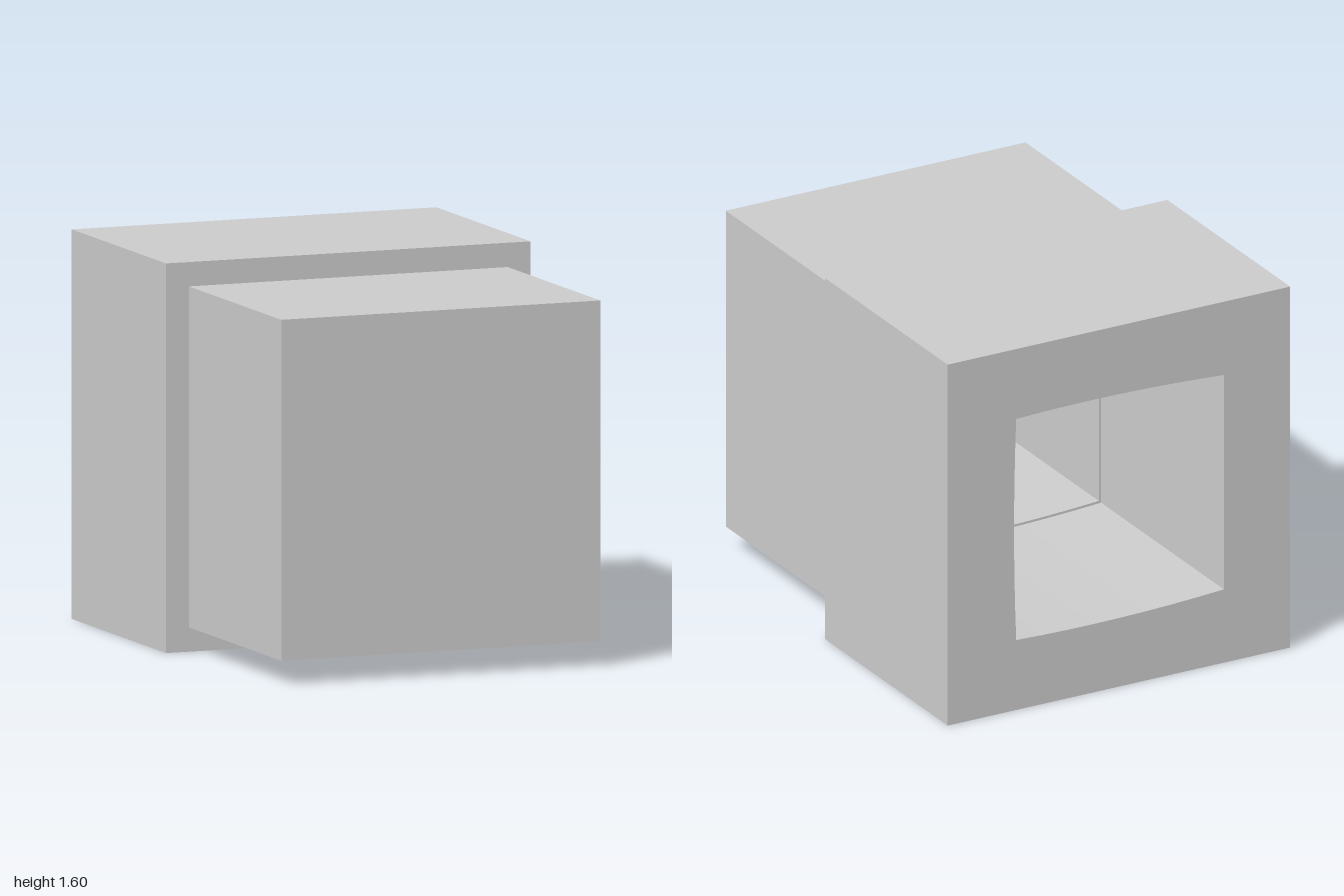
import * as THREE from 'three';

const material = new THREE.MeshStandardMaterial({ color: 0xcccccc });
const CENTER_Y = 0.8;
const JOINT_Z = 0.01;

// Square sleeve along z, bored with a slightly bowed square opening
function sleeve(outer, inner, z0, z1) {
  const shape = new THREE.Shape();
  shape.moveTo(-outer, -outer).lineTo(outer, -outer).lineTo(outer, outer).lineTo(-outer, outer).closePath();
  const bore = new THREE.Path();
  const low = inner - 0.015; // the bore is a little lower on the -x side
  const bow = inner + 0.02;
  bore.moveTo(-inner, -low);
  bore.lineTo(-inner, low);
  bore.quadraticCurveTo(0, bow, inner - 0.01, inner);
  bore.quadraticCurveTo(inner + 0.01, 0, inner - 0.01, -inner);
  bore.quadraticCurveTo(0, -bow, -inner, -low);
  shape.holes.push(bore);
  const geometry = new THREE.ExtrudeGeometry(shape, { depth: z1 - z0, bevelEnabled: false, curveSegments: 8 });
  geometry.translate(0, CENTER_Y, z0);
  return geometry;
}

export function createModel() {
  const group = new THREE.Group();
  const add = (name, geometry) => {
    const mesh = new THREE.Mesh(geometry, material);
    mesh.name = name;
    group.add(mesh);
  };

  // Larger rear block, open at the back
  add('rearBlock', sleeve(0.8, 0.49, -1, JOINT_Z));

  // Smaller front block: a box without its back face
  const depth = 1 - JOINT_Z;
  const shell = new THREE.BoxGeometry(1.4, 1.4, depth);
  shell.setIndex([...shell.index.array].slice(0, 30));
  shell.clearGroups();
  shell.translate(0, CENTER_Y, JOINT_Z + depth / 2);
  add('frontBlock', shell);

  // Lining that carries the bore on into the front block
  add('frontBore', sleeve(0.69, 0.48, JOINT_Z, 0.8));

  // Closed end of the bore
  const end = new THREE.PlaneGeometry(1.2, 1.2);
  end.rotateY(Math.PI);
  end.translate(0, CENTER_Y, 0.8);
  add('boreEnd', end);

  return group;
}
